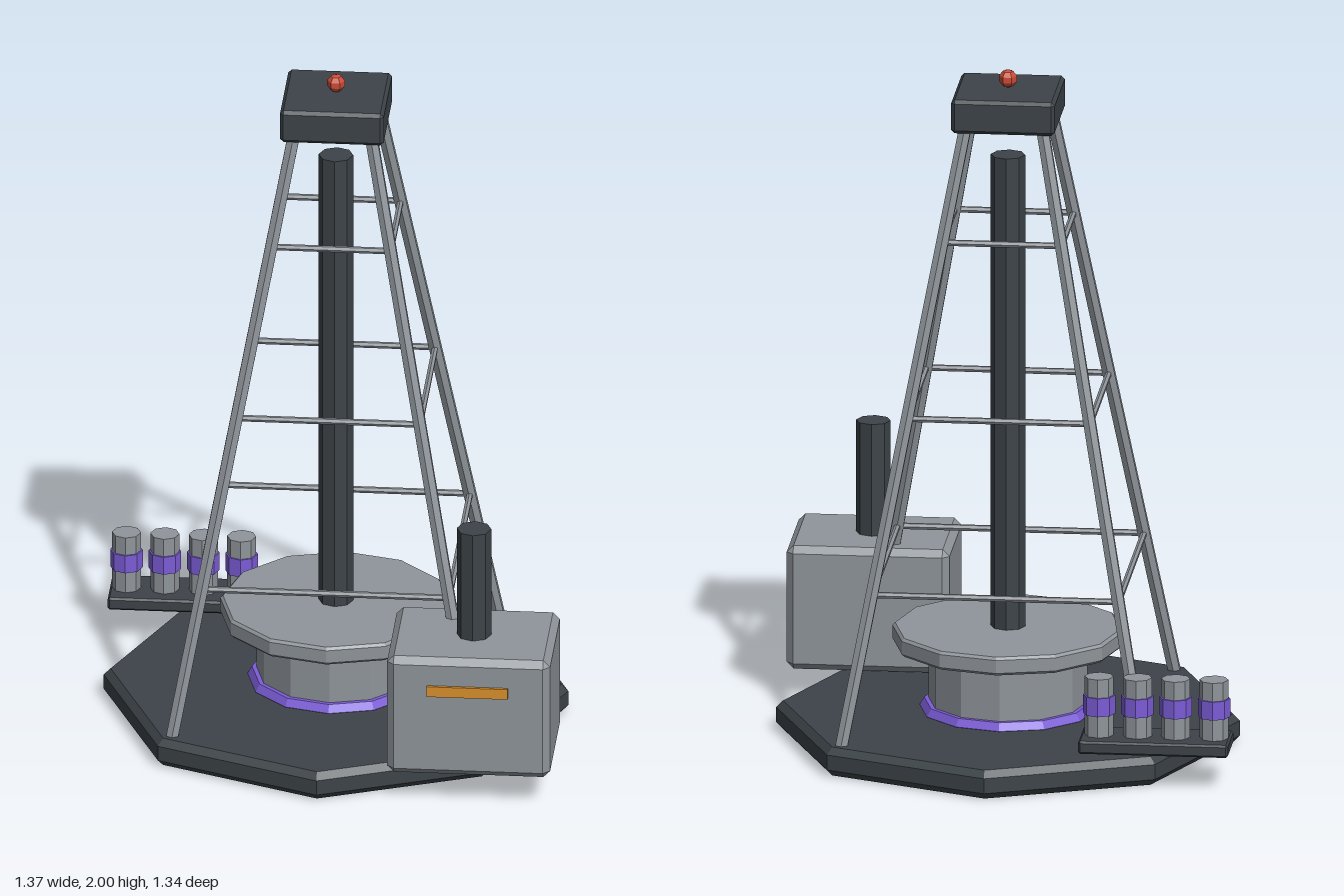
import * as THREE from 'three';
import { ConvexGeometry } from 'three/addons/geometries/ConvexGeometry.js';

const mat = (name, color) => Object.assign(new THREE.MeshStandardMaterial({ color }), { name });

// Hard facets baked into the normals
function faceted(geometry) {
  const g = geometry.index ? geometry.toNonIndexed() : geometry;
  g.computeVertexNormals();
  return g;
}

// Box with every edge chamfered by c
function chamferBox(w, h, d, c) {
  const pts = [];
  for (const x of [-1, 1]) for (const y of [-1, 1]) for (const z of [-1, 1]) {
    for (let full = 0; full < 3; full++) {
      const size = [w, h, d].map((s, i) => s / 2 - (i === full ? 0 : c));
      pts.push(new THREE.Vector3(x * size[0], y * size[1], z * size[2]));
    }
  }
  return new ConvexGeometry(pts);
}

// Faceted disc with chamfered rims, standing from y0 to y1
function chamferDisc(r, y0, y1, c, sides) {
  const profile = [[0, y0], [r - c, y0], [r, y0 + c], [r, y1 - c], [r - c, y1], [0, y1]];
  return new THREE.LatheGeometry(profile.map(p => new THREE.Vector2(...p)), sides);
}

export function createModel() {
  const dark = mat('darkSteel', 0x3c4348);
  const grey = mat('greySteel', 0x8f959b);
  const purple = mat('purpleGlow', 0x7b5cd6);
  const orange = mat('orangePanel', 0xd8902c);
  const red = mat('redBeacon', 0xcc4c36);

  const model = new THREE.Group();
  model.name = 'drillingRig';
  const rig = new THREE.Group();
  rig.name = 'derrick';
  rig.position.set(0.004, 0, -0.005);
  model.add(rig);

  function add(parent, name, geometry, material, x = 0, y = 0, z = 0) {
    const mesh = new THREE.Mesh(faceted(geometry), material);
    mesh.name = name;
    mesh.position.set(x, y, z);
    parent.add(mesh);
    return mesh;
  }
  function column(parent, name, r, y0, y1, sides, material, x = 0, z = 0) {
    return add(parent, name, new THREE.CylinderGeometry(r, r, y1 - y0, sides), material, x, (y0 + y1) / 2, z);
  }
  function beam(parent, name, a, b, r, sides) {
    const dir = b.clone().sub(a);
    const mesh = add(parent, name, new THREE.CylinderGeometry(r, r, dir.length(), sides), grey);
    mesh.position.copy(a).add(b).multiplyScalar(0.5);
    mesh.quaternion.setFromUnitVectors(new THREE.Vector3(0, 1, 0), dir.normalize());
  }

  // Platform and rotary table
  add(rig, 'basePlatform', chamferDisc(0.672, 0, 0.085, 0.02, 8), dark);
  column(rig, 'tableDrum', 0.23, 0.08, 0.29, 12, grey);
  add(rig, 'rotaryTable', chamferDisc(0.335, 0.275, 0.33, 0.008, 12), grey);
  add(rig, 'glowRing', new THREE.TorusGeometry(0.23, 0.026, 6, 12).rotateX(Math.PI / 2), purple, 0, 0.086);
  column(rig, 'drillPipe', 0.05, 0.3, 1.745, 8, dark);

  // Four leaning legs with three levels of cross bars
  const corner = (i, y) => {
    const s = 0.436 - 0.183 * (y - 0.085);
    const [sx, sz] = [[1, 1], [1, -1], [-1, -1], [-1, 1]][i % 4];
    return new THREE.Vector3(sx * s, y, sz * s);
  };
  for (let i = 0; i < 4; i++) {
    beam(rig, 'leg', corner(i, 0.08), corner(i, 1.88), 0.02, 6);
    for (const y of [0.515, 1.02, 1.525]) {
      beam(rig, 'crossBar', corner(i, y), corner(i + 1, y), 0.0095, 6);
    }
  }

  // Crown block and beacon
  add(rig, 'crownBlock', chamferBox(0.3, 0.1, 0.3, 0.01), dark, 0, 1.895, 0);
  add(rig, 'beacon', new THREE.SphereGeometry(0.027, 6, 5), red, 0, 1.973, 0);

  // Engine housing with exhaust and front panel
  const engine = new THREE.Group();
  engine.name = 'engine';
  model.add(engine);
  add(engine, 'engineHousing', chamferBox(0.472, 0.37, 0.37, 0.02), grey, 0.442, 0.275, 0.473);
  column(engine, 'exhaustStack', 0.05, 0.45, 0.795, 8, dark, 0.444, 0.473);
  add(engine, 'frontPanel', new THREE.BoxGeometry(0.234, 0.032, 0.009), orange, 0.44, 0.361, 0.6625);

  // Tray of banded canisters
  const rack = new THREE.Group();
  rack.name = 'canisterRack';
  model.add(rack);
  add(rack, 'tray', chamferBox(0.434, 0.038, 0.166, 0.006), dark, -0.47, 0.122, -0.444);
  for (let i = 0; i < 4; i++) {
    const x = -0.639 + i * 0.111;
    column(rack, 'canister', 0.042, 0.138, 0.315, 8, grey, x, -0.444);
    column(rack, 'canisterBand', 0.047, 0.205, 0.26, 8, purple, x, -0.444);
  }
  return model;
}
